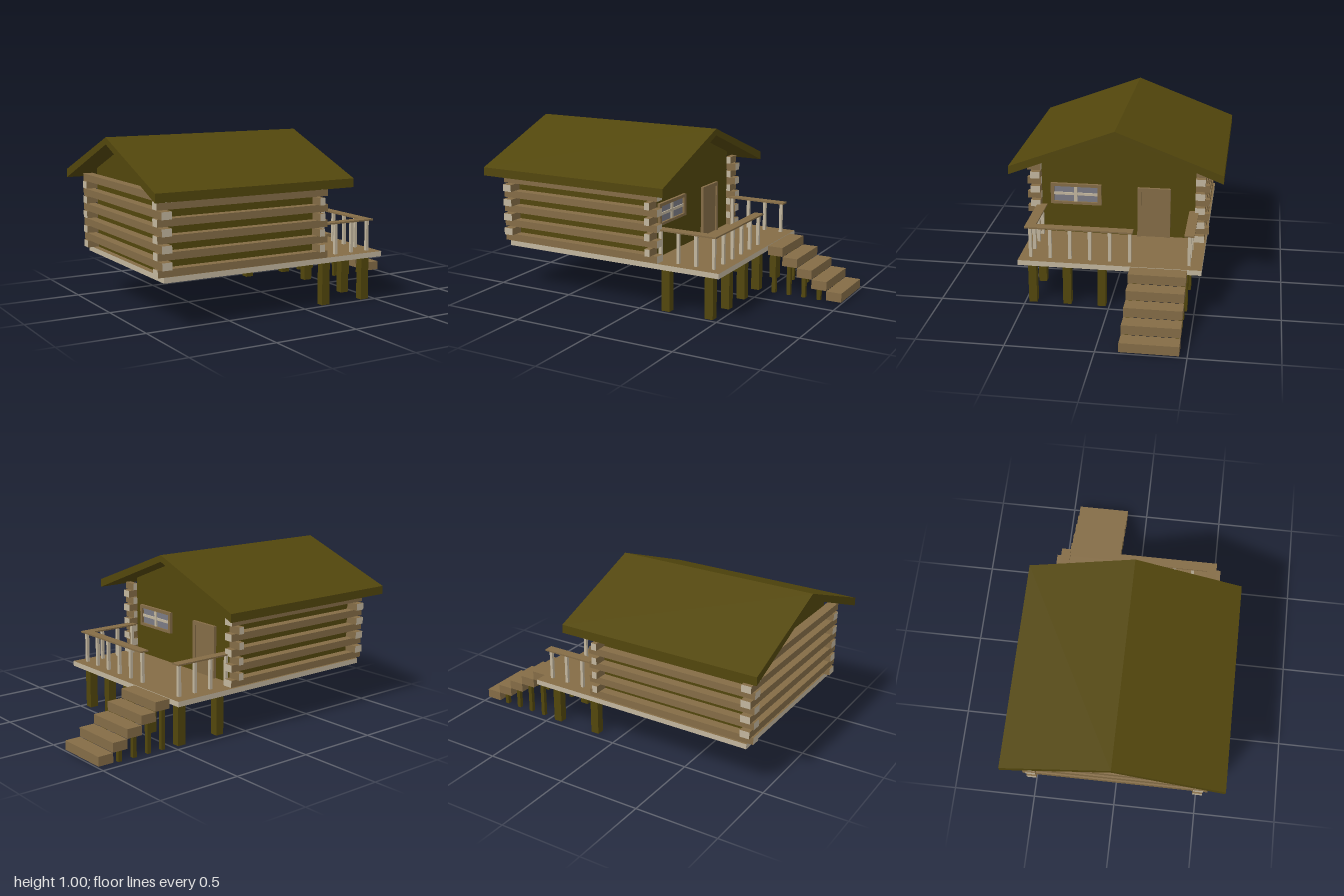
import * as THREE from 'three';

const mat = (color) => new THREE.MeshStandardMaterial({ color });
const olive = mat(0x52460c), brown = mat(0x846c46), cream = mat(0xc2b69e), glass = mat(0x7a7a84);

export function createModel() {
  const model = new THREE.Group();
  model.name = 'logCabin';

  // Box given by its extents along each axis
  function box(name, [x0, x1], [y0, y1], [z0, z1], material, parent = model) {
    const mesh = new THREE.Mesh(new THREE.BoxGeometry(x1 - x0, y1 - y0, z1 - z0), material);
    mesh.position.set((x0 + x1) / 2, (y0 + y1) / 2, (z0 + z1) / 2);
    mesh.name = name;
    parent.add(mesh);
    return mesh;
  }
  const group = (name) => {
    const g = new THREE.Group();
    g.name = name;
    model.add(g);
    return g;
  };
  // Outline in the z-y plane, extruded along x
  function prism(name, points, x0, x1) {
    const shape = new THREE.Shape(points.map(([z, y]) => new THREE.Vector2(-z, y)));
    const geo = new THREE.ExtrudeGeometry(shape, { depth: x1 - x0, bevelEnabled: false });
    geo.rotateY(Math.PI / 2).translate(x0, 0, 0);
    const mesh = new THREE.Mesh(geo, olive);
    mesh.name = name;
    model.add(mesh);
  }

  // Gabled walls and roof
  prism('walls', [[0.47, 0.29], [0.47, 0.774], [0, 0.96], [-0.47, 0.774], [-0.47, 0.29]], -0.87, 0.072);
  prism('roof', [[0.635, 0.71], [0.635, 0.76], [0, 1], [-0.635, 0.76], [-0.635, 0.71], [0, 0.96]], -1, 0.235);

  // Floor and deck slab with pale edges
  box('floor', [-0.905, 0.525], [0.262, 0.293], [-0.537, 0.525], [cream, cream, brown, brown, cream, cream]);

  // Interlocking logs with pale cut ends
  const logs = group('logs');
  const endsX = [cream, cream, brown, brown, brown, brown];
  const endsZ = [brown, brown, brown, brown, cream, cream];
  for (let i = 0; i < 5; i++) {
    const y = 0.294 + i * 0.09;
    const low = [y, y + 0.042], high = [y + 0.042, y + 0.084];
    box('backLog', [-0.927, -0.868], high, [-0.55, 0.555], endsZ, logs);
    for (const s of [-1, 1]) {
      const zs = (a, b) => (s > 0 ? [a, b] : [-b, -a]);
      box('sideLog', [-0.94, 0.135], low, zs(0.468, 0.526), endsX, logs);
      box('cornerLogEnd', [0.066, 0.1], high, zs(0.468, 0.552), endsZ, logs);
    }
  }

  // Door with frame
  box('doorFrameLeft', [0.07, 0.09], [0.293, 0.607], [-0.14, -0.118], brown);
  box('doorFrameRight', [0.07, 0.09], [0.293, 0.607], [-0.317, -0.298], brown);
  box('doorFrameTop', [0.07, 0.09], [0.584, 0.607], [-0.298, -0.14], brown);
  box('door', [0.07, 0.08], [0.293, 0.584], [-0.298, -0.14], brown);

  // Window
  box('windowFrameTop', [0.07, 0.09], [0.595, 0.613], [0.102, 0.412], brown);
  box('windowFrameBottom', [0.07, 0.09], [0.482, 0.498], [0.102, 0.412], brown);
  box('windowFrameLeft', [0.07, 0.09], [0.498, 0.595], [0.392, 0.412], brown);
  box('windowFrameRight', [0.07, 0.09], [0.498, 0.595], [0.102, 0.124], brown);
  box('windowGlass', [0.07, 0.077], [0.498, 0.595], [0.124, 0.392], glass);
  box('windowBarUpright', [0.07, 0.085], [0.498, 0.595], [0.25, 0.27], cream);
  box('windowBarCross', [0.07, 0.084], [0.539, 0.555], [0.124, 0.392], cream);

  // Railing: handrails and balusters
  const railing = group('railing');
  const railY = [0.477, 0.486];
  box('handrailLeft', [0.11, 0.487], railY, [0.43, 0.49], brown, railing);
  box('handrailRight', [0.11, 0.487], railY, [-0.49, -0.433], brown, railing);
  box('handrailFront', [0.43, 0.487], railY, [-0.138, 0.43], brown, railing);
  const baluster = (x, z) =>
    box('baluster', [x - 0.009, x + 0.009], [0.293, 0.477], [z - 0.009, z + 0.009], cream, railing);
  for (let i = 0; i < 6; i++) baluster(0.462, 0.46 - i * 0.116);
  for (const x of [0.121, 0.236, 0.35]) for (const z of [0.46, -0.462]) baluster(x, z);
  baluster(0.462, -0.462);

  // Deck posts: a full outer row and two posts by the house
  const posts = group('deckPosts');
  const post = (x, z) =>
    box('post', [x - 0.026, x + 0.026], [0, 0.263], [z - 0.024, z + 0.024], olive, posts);
  for (const z of [0.454, 0.249, 0.044, -0.161, -0.434]) post(0.44, z);
  for (const z of [0.454, -0.434]) post(0.16, z);

  // Stairs with thin legs
  const stairs = group('stairs');
  for (let i = 0; i < 5; i++) {
    const x = 0.525 + i * 0.095, y = 0.235 - i * 0.0565;
    box('step', [x, x + 0.095], [y, y + 0.055], [-0.457, -0.13], brown, stairs);
    if (i < 4) {
      for (const z of [-0.437, -0.15]) {
        const cx = 0.563 + i * 0.097;
        box('stepLeg', [cx - 0.012, cx + 0.012], [0, y], [z - 0.012, z + 0.012], olive, stairs);
      }
    }
  }
  return model;
}
